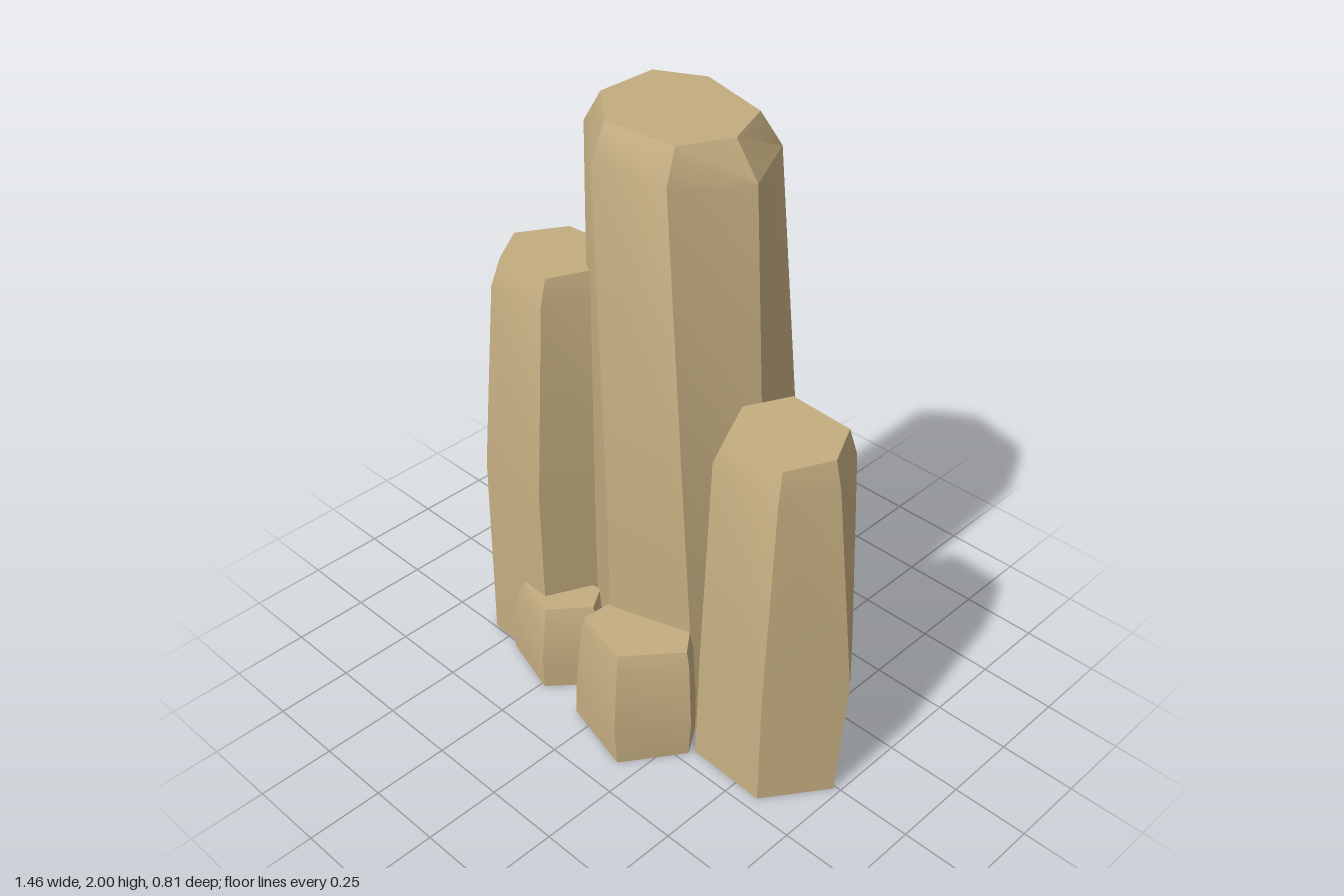
import * as THREE from 'three';
import { toCreasedNormals } from 'three/addons/utils/BufferGeometryUtils.js';

const stone = new THREE.MeshStandardMaterial({ color: 0xc4ad80 });
stone.name = 'sandstone';

// Each ring: y, slope of y along x, then [x, z] corners, clockwise from above.
function column(name, rings) {
  const n = rings[0].pts.length;
  const pos = [], idx = [];
  for (const { y, slope = 0, pts } of rings) {
    for (const [x, z] of pts) pos.push(x, y + slope * x, z);
  }
  // side walls
  for (let r = 0; r < rings.length - 1; r++) {
    for (let i = 0; i < n; i++) {
      const j = (i + 1) % n;
      const a = r * n + i, b = r * n + j;
      idx.push(a, a + n, b + n, a, b + n, b);
    }
  }
  // base and top caps
  const t = (rings.length - 1) * n;
  for (let i = 1; i < n - 1; i++) idx.push(0, i, i + 1, t, t + i + 1, t + i);
  const geo = new THREE.BufferGeometry();
  geo.setAttribute('position', new THREE.Float32BufferAttribute(pos, 3));
  geo.setIndex(idx);
  const mesh = new THREE.Mesh(toCreasedNormals(geo, 0.5), stone);
  mesh.name = name;
  return mesh;
}

export function createModel() {
  const group = new THREE.Group();
  group.name = 'rockColumns';

  // tall seven-sided column
  group.add(column('tallColumn', [
    { y: 0, pts: [[-0.08, -0.38], [0.23, -0.33], [0.31, -0.10], [0.26, 0.13], [-0.03, 0.22], [-0.28, 0.05], [-0.28, -0.20]] },
    { y: 0.7, pts: [[-0.09, -0.405], [0.24, -0.35], [0.315, -0.10], [0.21, 0.13], [-0.04, 0.21], [-0.30, 0.04], [-0.31, -0.21]] },
    { y: 1.88, slope: -0.06, pts: [[-0.10, -0.30], [0.17, -0.28], [0.27, -0.07], [0.13, 0.13], [-0.10, 0.18], [-0.29, 0.03], [-0.29, -0.20]] },
    { y: 1.984, slope: -0.07, pts: [[-0.10, -0.27], [0.13, -0.23], [0.19, -0.07], [0.12, 0.09], [-0.10, 0.13], [-0.23, 0.02], [-0.23, -0.18]] },
  ]));

  // middle column on the model's right
  group.add(column('middleColumn', [
    { y: 0, pts: [[-0.58, -0.18], [-0.30, -0.18], [-0.20, 0.04], [-0.30, 0.25], [-0.57, 0.245], [-0.73, 0.02]] },
    { y: 0.7, pts: [[-0.585, -0.195], [-0.30, -0.19], [-0.20, 0.04], [-0.30, 0.255], [-0.56, 0.245], [-0.69, 0.03]] },
    { y: 1.39, slope: 0.08, pts: [[-0.54, -0.13], [-0.30, -0.13], [-0.22, 0.04], [-0.30, 0.21], [-0.52, 0.21], [-0.645, 0.04]] },
    { y: 1.463, slope: 0.055, pts: [[-0.51, -0.10], [-0.31, -0.10], [-0.24, 0.04], [-0.31, 0.18], [-0.51, 0.18], [-0.605, 0.04]] },
  ]));

  // shorter column on the model's left
  group.add(column('shortColumn', [
    { y: 0, pts: [[0.34, -0.19], [0.59, -0.19], [0.73, 0.01], [0.59, 0.205], [0.32, 0.195], [0.26, 0]] },
    { y: 0.4, pts: [[0.34, -0.20], [0.60, -0.20], [0.73, -0.03], [0.58, 0.19], [0.32, 0.18], [0.26, -0.02]] },
    { y: 1.11, slope: -0.05, pts: [[0.32, -0.19], [0.57, -0.19], [0.645, -0.03], [0.565, 0.14], [0.32, 0.14], [0.26, -0.03]] },
    { y: 1.196, slope: -0.055, pts: [[0.34, -0.175], [0.55, -0.175], [0.615, -0.04], [0.55, 0.11], [0.34, 0.11], [0.275, -0.03]] },
  ]));

  // two low stubs at the front
  group.add(column('frontStubLeft', [
    { y: 0, pts: [[0.25, 0.12], [0.31, 0.215], [0.18, 0.40], [-0.075, 0.335], [-0.06, 0.16]] },
    { y: 0.13, pts: [[0.25, 0.12], [0.32, 0.215], [0.175, 0.405], [-0.07, 0.335], [-0.06, 0.16]] },
    { y: 0.35, pts: [[0.24, 0.125], [0.30, 0.205], [0.16, 0.375], [-0.055, 0.32], [-0.05, 0.17]] },
    { y: 0.4, pts: [[0.23, 0.13], [0.285, 0.20], [0.15, 0.36], [-0.05, 0.31], [-0.04, 0.18]] },
  ]));
  group.add(column('frontStubRight', [
    { y: 0, pts: [[-0.19, 0.07], [-0.10, 0.18], [-0.235, 0.33], [-0.45, 0.265], [-0.42, 0.12]] },
    { y: 0.12, pts: [[-0.19, 0.07], [-0.105, 0.185], [-0.235, 0.33], [-0.455, 0.265], [-0.42, 0.12]] },
    { y: 0.26, pts: [[-0.195, 0.085], [-0.135, 0.18], [-0.24, 0.31], [-0.42, 0.26], [-0.40, 0.13]] },
    { y: 0.3, pts: [[-0.20, 0.10], [-0.15, 0.18], [-0.25, 0.295], [-0.40, 0.255], [-0.38, 0.14]] },
  ]));

  return group;
}
